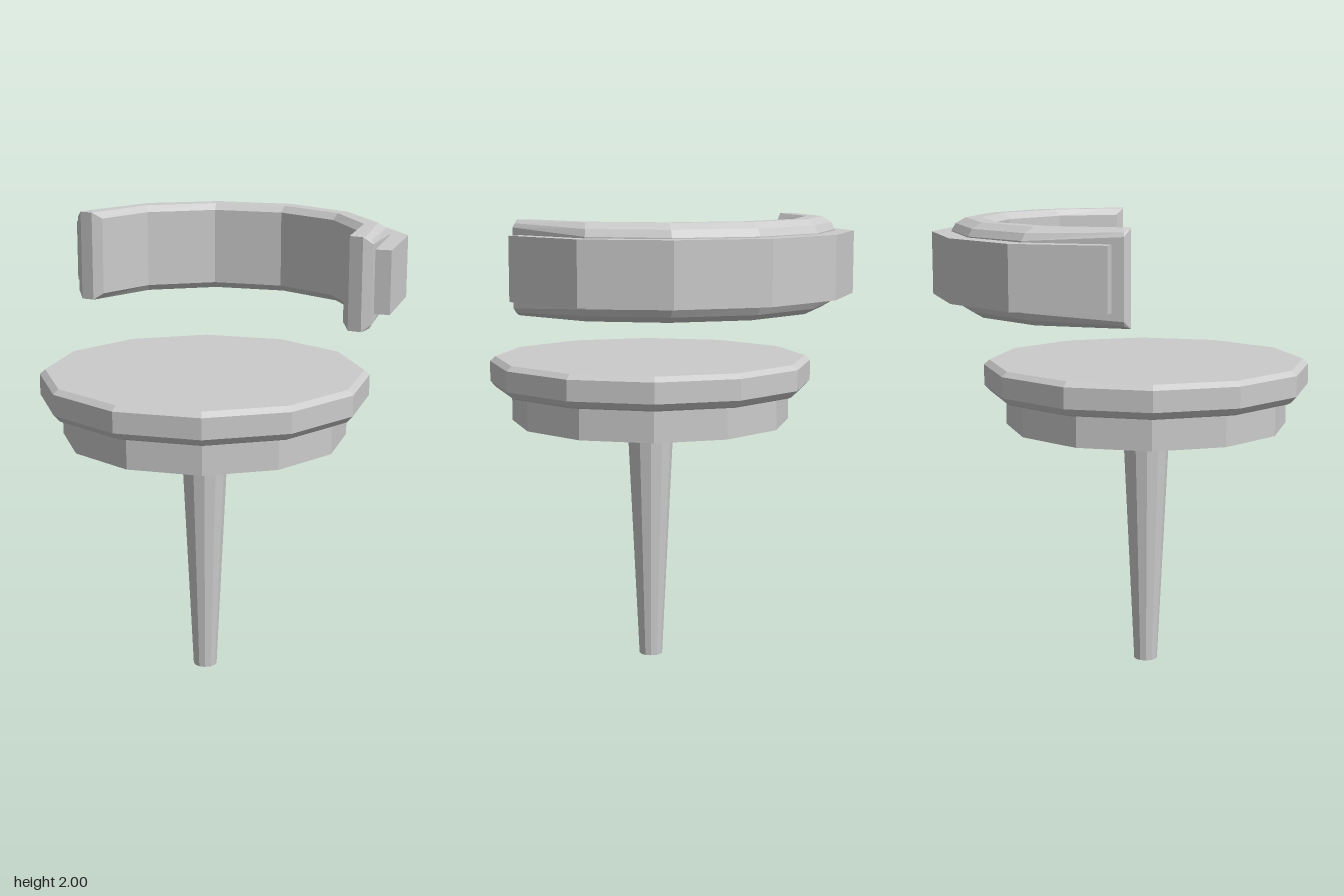
import * as THREE from 'three';

const material = new THREE.MeshStandardMaterial({ color: 0xcccccc, flatShading: true, side: THREE.DoubleSide });
const SIDES = 12;
const AXIS_Z = 0.107; // the seat and leg stand a little forward of the centre

function addMesh(group, name, geometry, z = 0) {
  const mesh = new THREE.Mesh(geometry, material);
  mesh.name = name;
  mesh.position.z = z;
  group.add(mesh);
}

// Twelve-sided turned part from [radius, height] pairs, bottom to top
function turned(profile) {
  return new THREE.LatheGeometry(profile.map(([r, y]) => new THREE.Vector2(r, y)), SIDES);
}

// Faceted solid skinned over closed cross-sections, with capped ends
function loft(rings) {
  const pos = [];
  const tri = (a, b, c) => pos.push(...a, ...b, ...c);
  const n = rings[0].length;
  for (let i = 0; i < rings.length - 1; i++) {
    for (let j = 0; j < n; j++) {
      const k = (j + 1) % n;
      const [a, b, c, d] = [rings[i][j], rings[i + 1][j], rings[i + 1][k], rings[i][k]];
      tri(a, b, c);
      tri(a, c, d);
    }
  }
  const first = rings[0], last = rings[rings.length - 1];
  for (let j = 1; j < n - 1; j++) {
    tri(first[0], first[j], first[j + 1]);
    tri(last[0], last[j + 1], last[j]);
  }
  const geometry = new THREE.BufferGeometry();
  geometry.setAttribute('position', new THREE.Float32BufferAttribute(pos, 3));
  geometry.computeVertexNormals();
  return geometry;
}

// Stations from the middle of the back to the left end, mirrored to the right
function mirrored(half) {
  const flip = (s) => ({ ...s, inner: [-s.inner[0], s.inner[1]], outer: [-s.outer[0], s.outer[1]] });
  return [...half.slice(1).reverse().map(flip), ...half];
}

// Cross-section at a station: [distance outward from inner edge, height] pairs
function section({ inner, outer }, profile) {
  const w = Math.hypot(outer[0] - inner[0], outer[1] - inner[1]);
  return profile(w).map(([u, y]) => [
    inner[0] + (outer[0] - inner[0]) * u / w, y,
    inner[1] + (outer[1] - inner[1]) * u / w,
  ]);
}

// Padded back: chamfered section, wider rounding on the rear edge
function cushionGeometry() {
  const bottom = 1.605, top = 2, c = 0.028;
  const half = [
    { inner: [0, -0.58], outer: [0, -0.74], round: 0.062 },
    { inner: [0.305, -0.5], outer: [0.357, -0.645], round: 0.062 },
    { inner: [0.535, -0.28], outer: [0.62, -0.415], round: 0.06 },
    { inner: [0.603, -0.012], outer: [0.735, -0.01], round: 0.034 },
    { inner: [0.64, 0.018], outer: [0.70, 0.018], round: 0 }, // flat end face
  ];
  return loft(mirrored(half).map((s) => {
    const r = s.round, k = r ? c : 0;
    return section(s, (w) => [
      [0, bottom + k], [0, top - k], [k, top],
      [w - r, top], [w - r * 0.3, top - r * 0.4], [w, top - r * 0.9],
      [w, bottom + r * 0.9], [w - r * 0.3, bottom + r * 0.4], [w - r, bottom],
      [k, bottom],
    ]);
  }));
}

// Plain band wrapped around the rear of the padding
function shellGeometry() {
  const half = [
    { inner: [0, -0.68], outer: [0, -0.825] },
    { inner: [0.325, -0.59], outer: [0.395, -0.72] },
    { inner: [0.565, -0.385], outer: [0.685, -0.466] },
    { inner: [0.67, -0.046], outer: [0.787, -0.075] },
  ];
  return loft(mirrored(half).map((s) =>
    section(s, (w) => [[0, 1.67], [0, 1.94], [w, 1.94], [w, 1.67]])));
}

export function createModel() {
  const model = new THREE.Group();
  model.name = 'stool';

  // Tapered central leg
  addMesh(model, 'leg', turned([[0, 0], [0.052, 0], [0.105, 1.1], [0, 1.1]]), AXIS_Z);

  // Seat base and chamfered seat pad
  addMesh(model, 'seatBase', turned([[0, 1.09], [0.62, 1.09], [0.62, 1.245], [0, 1.245]]), AXIS_Z);
  addMesh(model, 'seatPad', turned([
    [0, 1.232], [0.675, 1.232], [0.69, 1.239], [0.716, 1.267],
    [0.716, 1.357], [0.692, 1.378], [0, 1.378],
  ]), AXIS_Z);

  // Curved backrest floating above the seat
  const backrest = new THREE.Group();
  backrest.name = 'backrest';
  addMesh(backrest, 'backCushion', cushionGeometry());
  addMesh(backrest, 'backShell', shellGeometry());
  model.add(backrest);

  return model;
}
